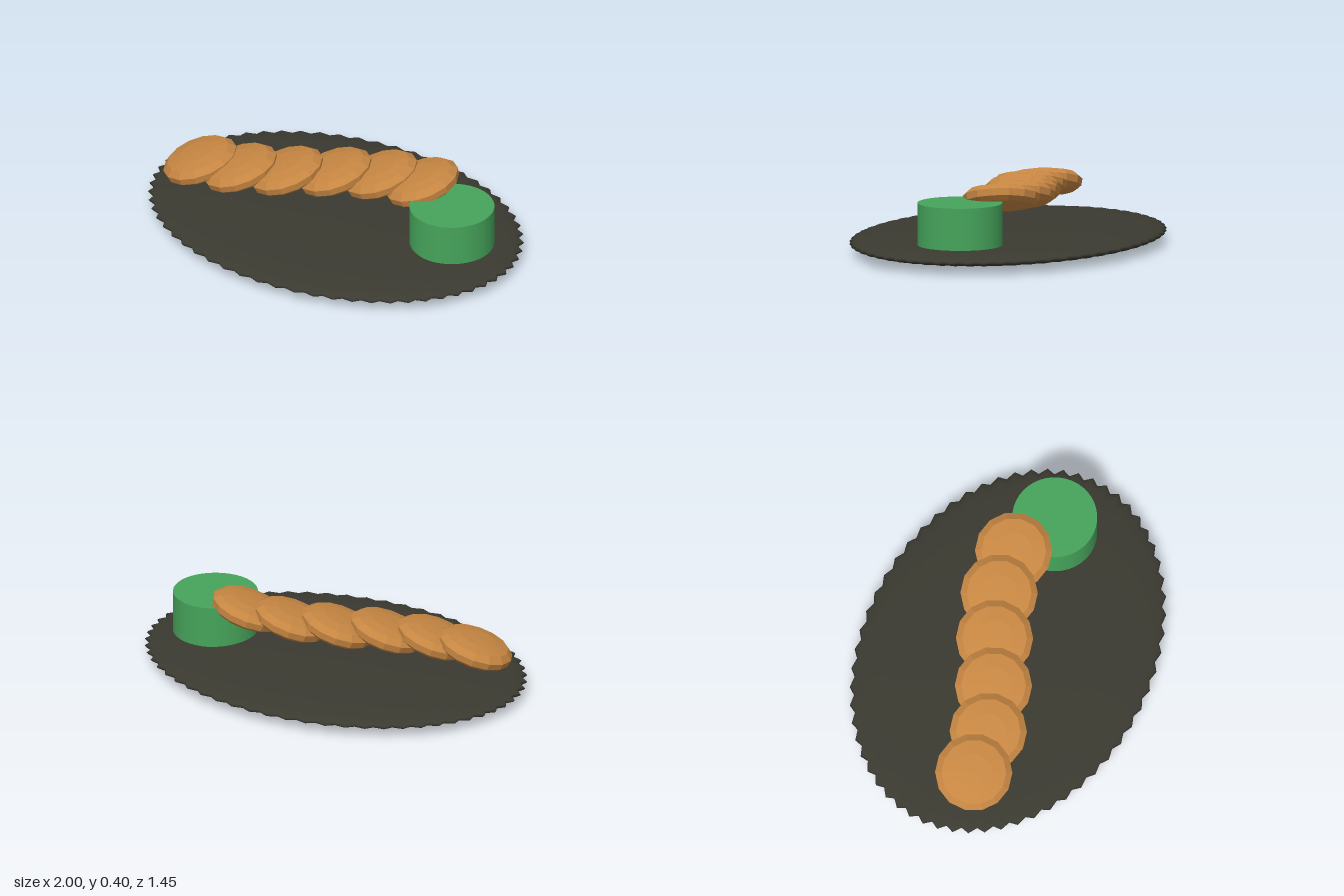
import * as THREE from 'three';

const mat = (name, color, flatShading = false) => {
  const m = new THREE.MeshStandardMaterial({ color, flatShading });
  m.name = name;
  return m;
};

export function createModel() {
  const group = new THREE.Group();
  const slate = mat('dark slate', 0x3a3a31);
  const green = mat('green', 0x46a45b);
  const golden = mat('golden brown', 0xc68642, true);

  const add = (name, geometry, material, x, y, z) => {
    const mesh = new THREE.Mesh(geometry, material);
    mesh.name = name;
    mesh.position.set(x, y, z);
    group.add(mesh);
    return mesh;
  };

  // Oval plate: flattened sphere whose rim alternates in and out as small teeth
  const teeth = 60;
  const plate = new THREE.SphereGeometry(1, teeth * 2, 24);
  const p = plate.attributes.position;
  for (let i = 0; i < p.count; i++) {
    const column = i % (teeth * 2 + 1);
    const r = Math.hypot(p.getX(i), p.getZ(i));
    const k = column % 2 ? 1 - 0.028 * r ** 4 : 1;
    p.setXYZ(i, p.getX(i) * k, p.getY(i) * 0.06, p.getZ(i) * k * 0.727);
  }
  plate.computeVertexNormals();
  add('plate', plate, slate, 0, 0.06, 0);

  // Sauce cup
  add('cup', new THREE.CylinderGeometry(0.21, 0.21, 0.21, 40), green, 0.65, 0.21, -0.047);

  // Row of overlapping faceted slices, each leaning on the next
  const profile = [
    [0, -0.055], [0.09, -0.052], [0.155, -0.043], [0.185, -0.022],
    [0.191, 0.012], [0.16, 0.04], [0.09, 0.054], [0, 0.058],
  ].map(([x, y]) => new THREE.Vector2(x, y));
  const slice = new THREE.LatheGeometry(profile, 14);
  const places = [
    [-0.705, 0.14], [-0.485, 0.117], [-0.262, 0.042],
    [-0.04, -0.055], [0.18, -0.132], [0.405, -0.157],
  ];
  places.forEach(([x, z], i) => {
    const mesh = add('slice' + (i + 1), slice, golden, x, 0.228 + i * 0.0175, z);
    mesh.rotation.set(0.16, 0, 0.29);
  });

  return group;
}
